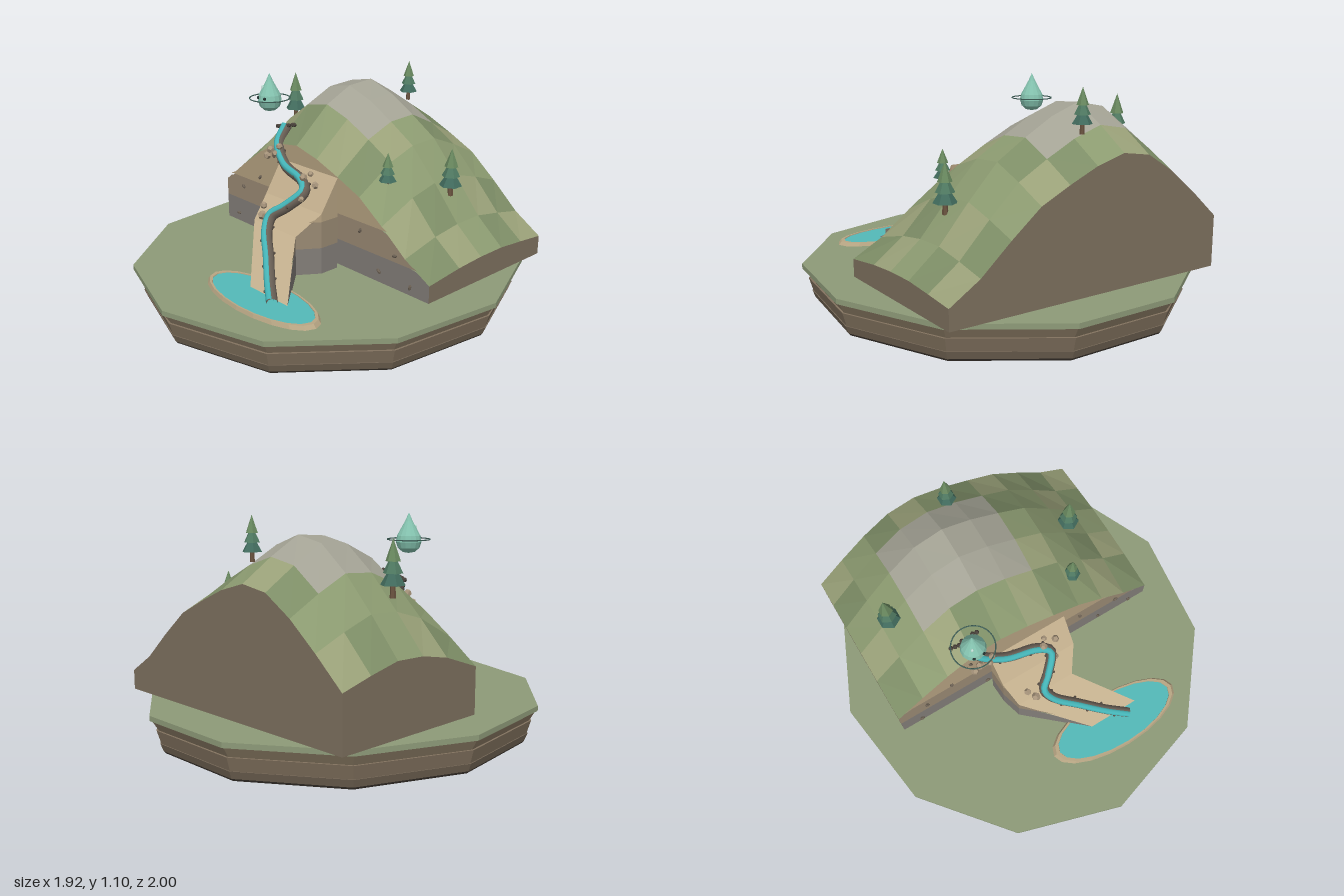
import * as THREE from 'three';

const V = (x, y, z) => new THREE.Vector3(x, y, z);
const lerp = THREE.MathUtils.lerp;
const mat = (color, extra = {}) => new THREE.MeshStandardMaterial({ color, flatShading: true, ...extra });

function add(parent, name, geometry, material, x = 0, y = 0, z = 0) {
  const m = new THREE.Mesh(geometry, material);
  m.name = name;
  m.position.set(x, y, z);
  parent.add(m);
  return m;
}

// Quads with corners counter-clockwise from outside
function quadGeometry(quads) {
  const pts = quads.flatMap(([a, b, c, d]) => [a, b, c, a, c, d]);
  const g = new THREE.BufferGeometry().setFromPoints(pts);
  g.computeVertexNormals();
  return g;
}

const GROUND = 0.19;
const STRATA = [[GROUND, 0.325, 0x827d78], [0.325, 0.46, 0x998973], [0.46, 2, 0xb4a080]];

// Vertical wall under the edge p0 -> p1 (left to right from outside), one quad list per stratum
function strataWall(lists, p0, p1, steps = 4) {
  for (let s = 0; s < steps; s++) {
    const a = p0.clone().lerp(p1, s / steps), b = p0.clone().lerp(p1, (s + 1) / steps);
    STRATA.forEach(([lo, hi], k) => {
      const ya = THREE.MathUtils.clamp(a.y, lo, hi), yb = THREE.MathUtils.clamp(b.y, lo, hi);
      if (ya > lo || yb > lo) lists[k].push([V(a.x, lo, a.z), V(b.x, lo, b.z), V(b.x, yb, b.z), V(a.x, ya, a.z)]);
    });
  }
}
const plainWall = (a, b) => [V(a.x, GROUND, a.z), V(b.x, GROUND, b.z), b, a];

function addStrata(parent, name, lists) {
  lists.forEach((q, k) => q.length && add(parent, name + (k + 1), quadGeometry(q), mat(STRATA[k][2])));
}

function makeBase() {
  const g = new THREE.Group();
  g.name = 'islandBase';
  const layers = [
    ['grassSlab', 0.165, 0.19, 1, 1, 0x8d9a78], ['soilUpper', 0.115, 0.165, 0.99, 0.96, 0x94836b],
    ['soilMiddle', 0.05, 0.115, 0.97, 0.95, 0x83735f], ['soilLower', 0.012, 0.05, 0.955, 0.94, 0x766857],
    ['underside', 0, 0.012, 0.94, 0.93, 0x4a423a]];
  for (const [name, lo, hi, rt, rb, c] of layers) {
    const m = add(g, name, new THREE.CylinderGeometry(rt, rb, hi - lo, 11), mat(c), 0, (lo + hi) / 2, -0.02);
    m.scale.set(0.97, 1, 1.02);
  }
  return g;
}

// Hill heights: ridge profile along x multiplied by a falloff along z
const RIDGE = [0.525, 0.70, 0.86, 0.98, 1.01, 0.955, 0.87, 0.775, 0.615, 0.44, 0.315];
const ROWS = [[-0.78, 0.76], [-0.62, 0.89], [-0.46, 1], [-0.30, 0.985], [-0.14, 0.89], [0.07, 0.667]];
const hill = (i, j) => V(-0.76 + i * 0.152, 0.2 + (RIDGE[i] - 0.2) * ROWS[j][1], ROWS[j][0]);

function makeHill() {
  const g = new THREE.Group();
  g.name = 'hill';
  const tints = [0xa3a294, 0x99a078, 0x8b9a70, 0x7d8d66];
  const names = ['rockySummit', 'paleGrass', 'grass', 'darkGrass'];
  const tops = tints.map(() => []), cliff = STRATA.map(() => []), earth = [];
  for (let i = 0; i < 10; i++) {
    for (let j = 0; j < 5; j++) {
      const rocky = i >= 2 && i <= 5 && j >= 1 && j <= 3;
      const t = rocky ? 0 : 1 + (i * 7 + j * 5 + ((i * j) % 3)) % 3;
      tops[t].push([hill(i, j), hill(i, j + 1), hill(i + 1, j + 1), hill(i + 1, j)]);
    }
    strataWall(cliff, hill(i, 5), hill(i + 1, 5));
    earth.push(plainWall(hill(i + 1, 0), hill(i, 0)));
  }
  for (let j = 0; j < 5; j++) {
    earth.push(plainWall(hill(10, j + 1), hill(10, j)), plainWall(hill(0, j), hill(0, j + 1)));
  }
  earth.push([[-1, 0.07], [-1, -0.78], [1, -0.78], [1, 0.07]].map(([s, z]) => V(s * 0.76, GROUND, z)));
  tops.forEach((q, k) => add(g, names[k], quadGeometry(q), mat(tints[k])));
  addStrata(g, 'cliffStratum', cliff);
  add(g, 'earthWalls', quadGeometry(earth), mat(0x7d705e));
  // Small stones set in the cliff face
  const stones = [[-0.65, 0.24], [-0.45, 0.5], [-0.33, 0.65], [-0.25, 0.245], [0.32, 0.42],
    [0.45, 0.25], [0.55, 0.36], [0.65, 0.235], [-0.6, 0.41]];
  stones.forEach(([x, y], k) => {
    const m = add(g, 'cliffStone', new THREE.DodecahedronGeometry(0.012), mat(0x6d6255), x, y, 0.078);
    m.scale.set(1.3, 0.7, 0.7);
    m.rotation.z = k * 1.1;
  });
  return g;
}

// Sloping rock buttress carrying the stream
function makeButtress() {
  const g = new THREE.Group();
  g.name = 'streamButtress';
  const left = [V(-0.235, 0.66, 0.105), V(-0.23, 0.5, 0.21), V(-0.2, 0.39, 0.315), V(0.1, 0.2, 0.58)];
  const right = [V(0.19, 0.66, 0.105), V(0.19, 0.5, 0.21), V(0.12, 0.39, 0.315), V(0.37, 0.2, 0.58)];
  const slope = [], walls = STRATA.map(() => []);
  for (let k = 0; k < 3; k++) {
    slope.push([left[k], left[k + 1], right[k + 1], right[k]]);
    strataWall(walls, right[k + 1], right[k]);
    strataWall(walls, left[k], left[k + 1]);
  }
  strataWall(walls, right[0], left[0]);
  strataWall(walls, left[3], right[3]);
  add(g, 'slope', quadGeometry(slope), mat(0xc4b08e));
  addStrata(g, 'buttressStratum', walls);
  return g;
}

function makeStream() {
  const g = new THREE.Group();
  g.name = 'stream';
  const path = new THREE.CatmullRomCurve3([
    V(-0.31, 0.8, 0), V(-0.29, 0.72, 0.07), V(-0.17, 0.645, 0.13), V(0, 0.61, 0.165), V(0.055, 0.575, 0.2),
    V(0, 0.5, 0.27), V(-0.055, 0.45, 0.32), V(-0.03, 0.39, 0.37), V(0.08, 0.31, 0.45), V(0.2, 0.24, 0.54), V(0.3, 0.205, 0.61)]);
  add(g, 'streamBed', new THREE.TubeGeometry(path, 60, 0.027, 8), mat(0x6a6056, { flatShading: false }));
  add(g, 'streamWater', new THREE.TubeGeometry(path, 60, 0.018, 8), mat(0x45b5b8, { flatShading: false }), -0.004, 0.011, 0.01);
  // Pebbles along the bank
  for (let k = 1; k < 16; k++) {
    const p = path.getPointAt(k / 16), t = path.getTangentAt(k / 16);
    const side = V(-t.z, 0, t.x).normalize().multiplyScalar(k % 2 ? 0.027 : -0.027);
    add(g, 'bankPebble', new THREE.DodecahedronGeometry(0.008), mat(0x574d44), p.x + side.x, p.y + 0.004, p.z + side.z);
  }
  // Stones around the spring
  for (let k = 0; k < 8; k++) {
    add(g, 'springStone', new THREE.DodecahedronGeometry(0.012), mat(0x4a423b),
      -0.385 + k * 0.02, 0.785 + k * 0.005, 0.005 * (k % 3));
  }
  // Boulders at the bends
  const boulders = [[-0.33, 0.66, 0.12, 0.02], [-0.3, 0.7, 0.12, 0.021], [-0.25, 0.69, 0.13, 0.017], [-0.23, 0.73, 0.12, 0.017],
    [0.025, 0.64, 0.18, 0.02], [0.1, 0.615, 0.17, 0.019], [0.065, 0.55, 0.23, 0.017], [0.045, 0.655, 0.15, 0.015],
    [-0.14, 0.48, 0.3, 0.018], [-0.11, 0.445, 0.335, 0.023], [-0.04, 0.47, 0.31, 0.017]];
  boulders.forEach(([x, y, z, r], k) => {
    add(g, 'boulder', new THREE.DodecahedronGeometry(r), mat(0xa8957c), x, y, z).rotation.set(k, k * 2, 0);
  });
  return g;
}

function makePond() {
  const g = new THREE.Group();
  g.name = 'pond';
  g.position.set(0.215, GROUND, 0.603);
  g.scale.set(1, 1, 0.395);
  const rim = [[0.335, 0], [0.34, 0.018], [0.36, 0.018], [0.375, 0]].reverse().map(([r, y]) => new THREE.Vector2(r, y));
  add(g, 'pondRim', new THREE.LatheGeometry(rim, 20), mat(0xb8a684, { side: THREE.DoubleSide }));
  add(g, 'pondWater', new THREE.CylinderGeometry(0.342, 0.342, 0.014, 28), mat(0x54b9b8), 0, 0.007, 0);
  return g;
}

function makeTree(x, y, z, h, r) {
  const g = new THREE.Group();
  g.name = 'pineTree';
  g.position.set(x, y, z);
  add(g, 'trunk', new THREE.CylinderGeometry(r * 0.18, r * 0.25, h * 0.35, 6), mat(0x6b5440), 0, h * 0.175, 0);
  const tiers = [[0.22, 0.6, 1, 0x426c5e], [0.42, 0.78, 0.8, 0x507a62], [0.62, 1, 0.6, 0x6a8a60]];
  for (const [lo, hi, k, c] of tiers) {
    add(g, 'foliage', new THREE.ConeGeometry(r * k, h * (hi - lo), 6), mat(c), 0, h * (lo + hi) / 2, 0);
  }
  return g;
}

function makeDroplet() {
  const g = new THREE.Group();
  g.name = 'waterDroplet';
  g.position.set(-0.315, 0.9, 0.107);
  const profile = [[0, 0], [0.03, 0.006], [0.052, 0.025], [0.062, 0.055], [0.056, 0.085], [0.038, 0.118], [0.018, 0.155], [0, 0.195]];
  add(g, 'dropletBody', new THREE.LatheGeometry(profile.map(p => new THREE.Vector2(...p)), 14), mat(0x85c4b0));
  add(g, 'dropletRing', new THREE.TorusGeometry(0.103, 0.003, 6, 32), mat(0x3f5f58), 0, 0.067, 0).rotation.x = Math.PI / 2;
  for (const s of [-1, 1]) add(g, 'eye', new THREE.SphereGeometry(0.008, 8, 6), mat(0x20302e), s * 0.025, 0.072, 0.053);
  add(g, 'highlight', new THREE.SphereGeometry(0.01, 8, 6), mat(0xc8e8de), -0.018, 0.122, 0.03).scale.set(0.7, 1.5, 0.6);
  return g;
}

export function createModel() {
  const model = new THREE.Group();
  model.name = 'hillsideSpring';
  model.add(makeBase(), makeHill(), makeButtress(), makeStream(), makePond(), makeDroplet());
  const trees = [[-0.565, 0.745, -0.28, 0.262, 0.057], [-0.035, 0.89, -0.63, 0.21, 0.047],
    [0.51, 0.545, -0.355, 0.24, 0.057], [0.35, 0.605, -0.075, 0.18, 0.045]];
  for (const t of trees) model.add(makeTree(...t));
  return model;
}
